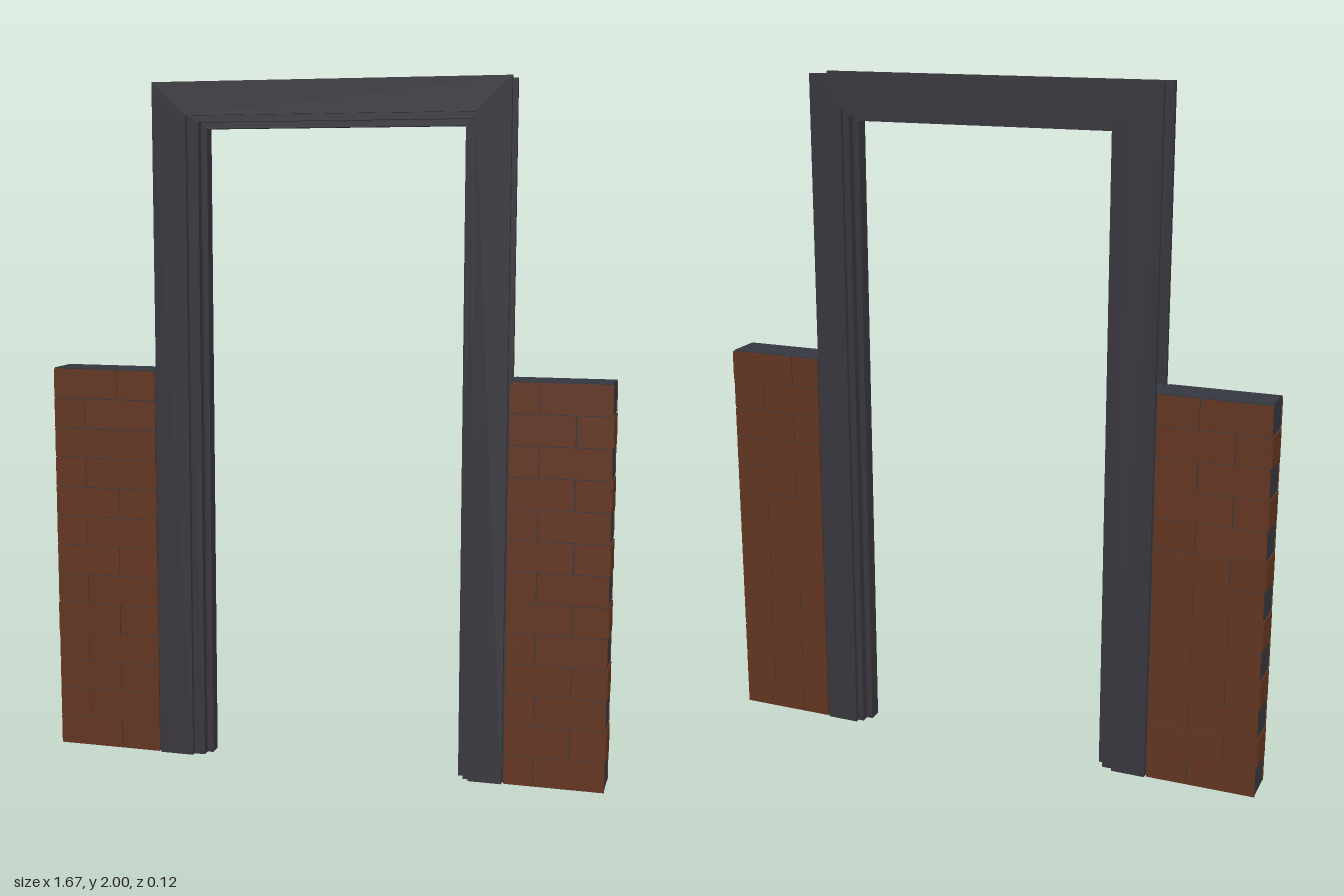
import * as THREE from 'three';

export function createModel() {
  const model = new THREE.Group();
  const mat = (name, color) => {
    const m = new THREE.MeshStandardMaterial({ color });
    m.name = name;
    return m;
  };
  const frameMat = mat('charcoal frame', 0x38363d);
  const mortarMat = mat('slate mortar', 0x34373f);
  const brickMat = mat('brown brick', 0x633520);

  // Box given by its limits on each axis
  function block(parent, name, material, x0, x1, y0, y1, z0, z1) {
    const mesh = new THREE.Mesh(new THREE.BoxGeometry(x1 - x0, y1 - y0, z1 - z0), material);
    mesh.position.set((x0 + x1) / 2, (y0 + y1) / 2, (z0 + z1) / 2);
    mesh.name = name;
    parent.add(mesh);
  }

  // Upside-down U: two posts joined by a head, extruded through the depth
  function portal(name, outer, inner, z0, z1) {
    const [ol, or, ot] = outer, [il, ir, it] = inner;
    const shape = new THREE.Shape([
      [ol, 0], [il, 0], [il, it], [ir, it], [ir, 0], [or, 0], [or, ot], [ol, ot],
    ].map(([x, y]) => new THREE.Vector2(x, y)));
    const geo = new THREE.ExtrudeGeometry(shape, { depth: z1 - z0, bevelEnabled: false });
    const mesh = new THREE.Mesh(geo, frameMat);
    mesh.position.z = z0;
    mesh.name = name;
    model.add(mesh);
  }

  // Door frame: trim on both faces, jamb lining and door stop
  const trimOuter = [-0.505, 0.537, 2], trimInner = [-0.403, 0.44, 1.905];
  portal('frontTrim', trimOuter, trimInner, 0.046, 0.06);
  portal('backTrim', trimOuter, trimInner, -0.06, -0.046);
  portal('jamb', [-0.42, 0.455, 1.92], [-0.37, 0.422, 1.886], -0.046, 0.046);
  portal('doorStop', [-0.372, 0.424, 1.888], [-0.352, 0.404, 1.868], -0.02, 0.02);

  // Brick walls on either side of the frame
  const rows = 13, rowH = 1.166 / rows, gap = 0.003;
  function wall(name, x0, x1, oddJoint, evenJoint, raised, end) {
    const group = new THREE.Group();
    group.name = name;
    model.add(group);
    block(group, 'mortarCore', mortarMat, x0 + 0.002, x1 - 0.002, 0, 1.168, -0.054, 0.054);
    for (let r = 0; r < rows; r++) {
      const odd = r % 2 === 1;
      const y0 = r * rowH + gap / 2, y1 = (r + 1) * rowH - gap / 2;
      const joint = odd ? oddJoint : evenJoint;
      [[x0, joint - gap / 2], [joint + gap / 2, x1]].forEach(([a, b], i) => {
        const face = raised[r] === i ? 0.06 : 0.057;
        block(group, 'frontBrick', brickMat, a, b, y0, y1, 0.052, face);
        block(group, 'backBrick', brickMat, a, b, y0, y1, -face, -0.052);
      });
      // Header bricks show on the outer end in every other course
      if (odd) block(group, 'endBrick', brickMat, end - 0.003, end + 0.003, y0, y1, -0.05, 0.05);
    }
  }
  wall('rightWall', -0.833, -0.511, -0.735, -0.632, { 1: 1, 4: 0, 7: 1, 10: 1 }, -0.832);
  wall('leftWall', 0.543, 0.83, 0.73, 0.628, { 6: 0, 9: 0, 12: 1 }, 0.829);

  // Wall cores running between the trims to the jamb
  block(model, 'rightWallReturn', mortarMat, -0.515, -0.42, 0, 1.168, -0.046, 0.046);
  block(model, 'leftWallReturn', mortarMat, 0.455, 0.547, 0, 1.168, -0.046, 0.046);

  return model;
}
